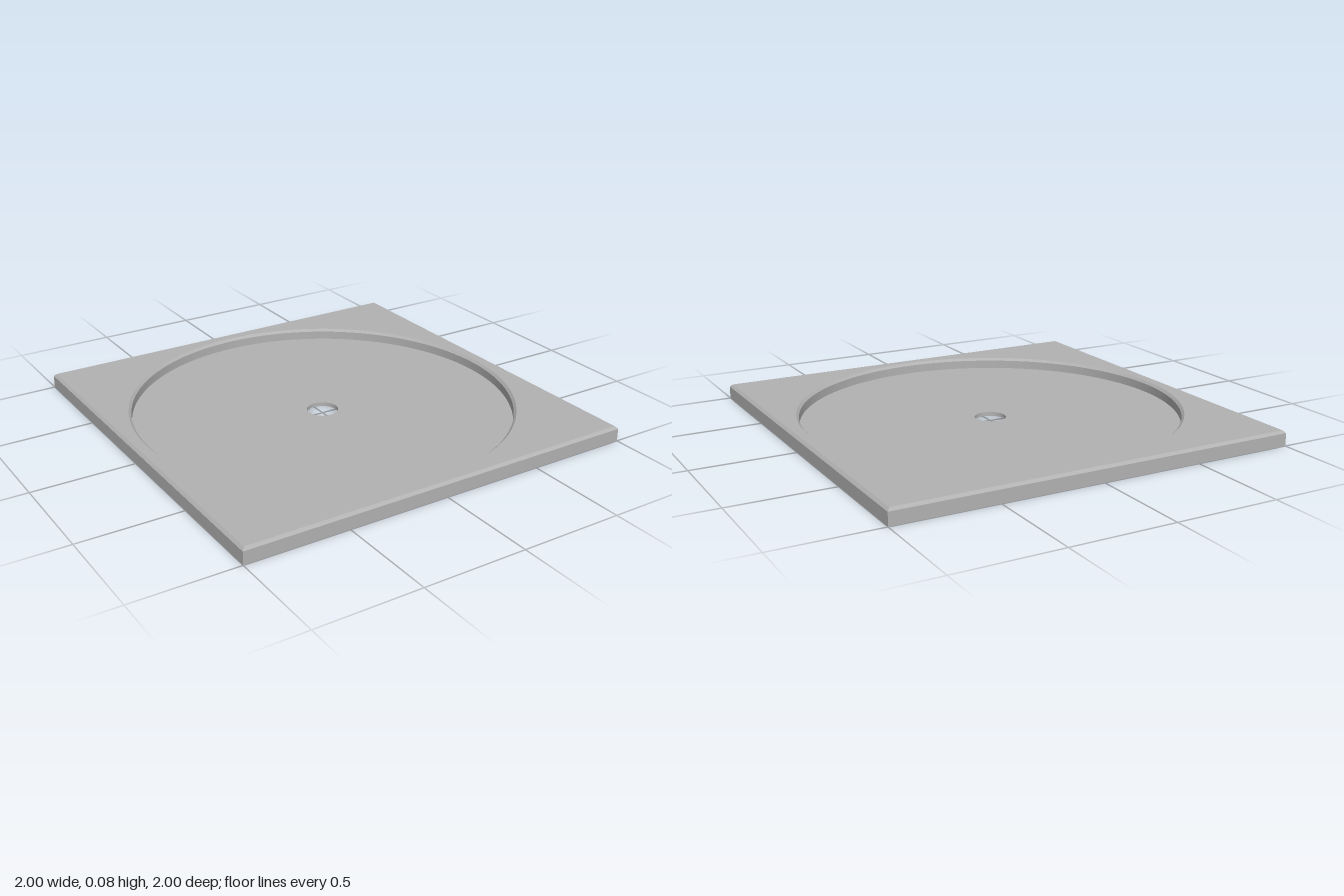
import * as THREE from 'three';
import { mergeGeometries } from 'three/addons/utils/BufferGeometryUtils.js';

const SEGMENTS = 128;
const HEIGHT = 0.075, CHAMFER = 0.0125, FLOOR = 0.02;
const RIM_RADIUS = 0.94, HOLE_RADIUS = 0.077;

// Flat square sheet with a round hole, facing up or down at height y
function squareSheet(half, holeRadius, y, facing) {
  const shape = new THREE.Shape([
    new THREE.Vector2(-half, -half), new THREE.Vector2(half, -half),
    new THREE.Vector2(half, half), new THREE.Vector2(-half, half),
  ]);
  shape.holes.push(new THREE.Path().absarc(0, 0, holeRadius, 0, Math.PI * 2, true));
  return new THREE.ShapeGeometry(shape, SEGMENTS / 2)
    .rotateX(-facing * Math.PI / 2).translate(0, y, 0);
}

// Four flat walls between two square outlines
function squareWalls(topHalf, bottomHalf, y0, y1) {
  const r = Math.SQRT2;
  const walls = new THREE.CylinderGeometry(topHalf * r, bottomHalf * r, y1 - y0, 4, 1, true)
    .rotateY(Math.PI / 4).translate(0, (y0 + y1) / 2, 0).toNonIndexed();
  walls.computeVertexNormals();
  return walls;
}

// One ring of the turned recess, with its own normals so edges stay sharp
function ring(a, b) {
  return new THREE.LatheGeometry([new THREE.Vector2(...a), new THREE.Vector2(...b)], SEGMENTS);
}

export function createModel() {
  const model = new THREE.Group();
  model.name = 'squareTray';
  const grey = new THREE.MeshStandardMaterial({ color: 0xb2b2b2 });
  grey.name = 'grey';

  const add = (name, geometry) => {
    const mesh = new THREE.Mesh(geometry, grey);
    mesh.name = name;
    model.add(mesh);
  };

  // Outer shell
  const shoulder = HEIGHT - CHAMFER;
  add('topFace', squareSheet(1 - CHAMFER, RIM_RADIUS, HEIGHT, 1));
  add('underside', squareSheet(1, HOLE_RADIUS, 0, -1));
  add('outerWalls', mergeGeometries([
    squareWalls(1, 1, 0, shoulder),
    squareWalls(1 - CHAMFER, 1, shoulder, HEIGHT),
  ]));

  // Round recess: chamfered rim, wall, floor and centre hole
  const wallRadius = RIM_RADIUS - CHAMFER;
  const profile = [
    [RIM_RADIUS, HEIGHT], [wallRadius, shoulder], [wallRadius, FLOOR],
    [HOLE_RADIUS, FLOOR], [HOLE_RADIUS, 0],
  ];
  ['recessChamfer', 'recessWall', 'recessFloor', 'centreHole'].forEach((name, i) => {
    add(name, ring(profile[i], profile[i + 1]));
  });

  return model;
}
